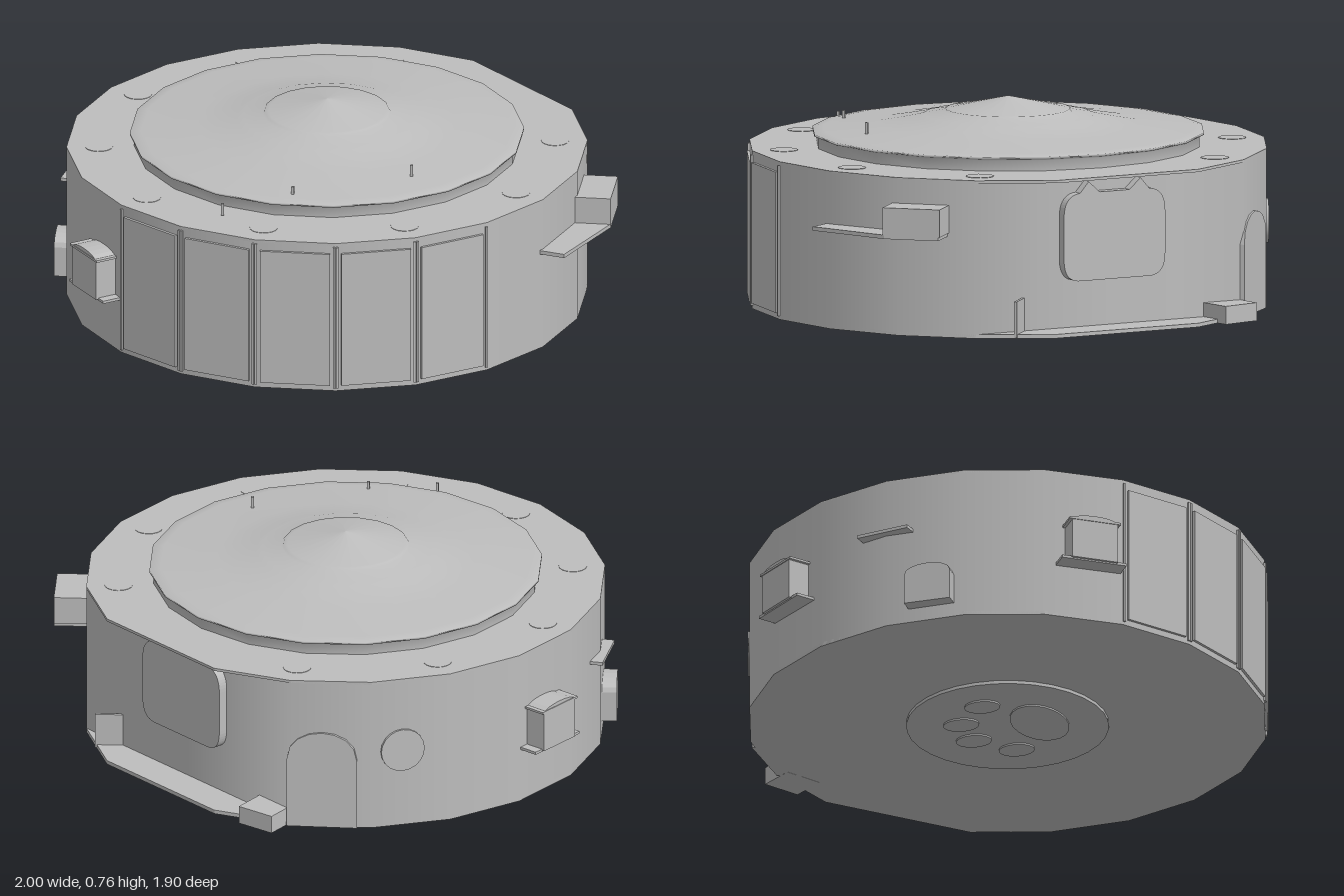
import * as THREE from 'three';

const R = 0.925, CX = -0.035, CZ = 0.02, SIDES = 20;
const DEG = Math.PI / 180;

export function createModel() {
  const model = new THREE.Group();
  const hull = new THREE.Group();
  hull.name = 'shelter';
  hull.position.set(CX, 0, CZ);
  model.add(hull);
  const grey = new THREE.MeshStandardMaterial({ color: 0xbdbdbd, side: THREE.DoubleSide });
  grey.name = 'plain grey';

  const add = (name, geo, parent = hull) => {
    const m = new THREE.Mesh(geo, grey);
    m.name = name;
    parent.add(m);
    return m;
  };
  const box = (name, w, h, d, x, y, z, parent) => {
    const m = add(name, new THREE.BoxGeometry(w, h, d), parent);
    m.position.set(x, y, z);
    return m;
  };
  // Group standing on the wall at an angle from the front, local +z pointing outwards
  const station = (name, deg, r, y = 0) => {
    const g = new THREE.Group();
    g.name = name;
    g.position.set(Math.sin(deg * DEG) * r, y, Math.cos(deg * DEG) * r);
    g.rotation.y = deg * DEG;
    hull.add(g);
    return g;
  };
  // Horizontal plate from [x, z] points
  const slab = (name, pts, y, h, parent) => {
    const s = new THREE.Shape(pts.map(([x, z]) => new THREE.Vector2(x, -z)));
    const geo = new THREE.ExtrudeGeometry(s, { depth: h, bevelEnabled: false });
    const m = add(name, geo.rotateX(-Math.PI / 2), parent);
    m.position.y = y;
    return m;
  };
  // Upright plate with an arched top
  const arch = (name, w, h, rise, d, parent) => {
    const s = new THREE.Shape();
    s.moveTo(-w / 2, 0);
    s.lineTo(w / 2, 0);
    s.lineTo(w / 2, h - rise);
    s.bezierCurveTo(w / 2, h, -w / 2, h, -w / 2, h - rise);
    s.closePath();
    return add(name, new THREE.ExtrudeGeometry(s, { depth: d, bevelEnabled: false, curveSegments: 8 }), parent);
  };

  // Outer wall, flattened on one rear side
  const wall = new THREE.CylinderGeometry(R, R, 0.56, SIDES, 1, true, 9 * DEG);
  const p = wall.attributes.position, limit = R * Math.cos(36 * DEG);
  for (let i = 0; i < p.count; i++) {
    const over = (p.getX(i) - p.getZ(i)) * Math.SQRT1_2 - limit;
    if (over > 0) p.setXYZ(i, p.getX(i) - over * Math.SQRT1_2, p.getY(i), p.getZ(i) + over * Math.SQRT1_2);
  }
  add('outerWall', wall).position.y = 0.3;

  // Floor and roof plates, one corner clipped above the flat wall
  const outline = [];
  for (let i = 0; i < SIDES; i++) {
    const a = 9 + 18 * i;
    if (a !== 135) outline.push([R * Math.sin(a * DEG), R * Math.cos(a * DEG)]);
  }
  slab('floorPlate', outline, 0.018, 0.014);
  slab('roofPlate', outline, 0.574, 0.01);

  // Stepped dome
  const dome = [[0.685, 0.58], [0.685, 0.622], [0.7, 0.628], [0.7, 0.636], [0.66, 0.642], [0.46, 0.66],
    [0.38, 0.674], [0.32, 0.686], [0.3, 0.692], [0.228, 0.704], [0.222, 0.712], [0.208, 0.712], [0, 0.757]];
  add('dome', new THREE.LatheGeometry(dome.map(([x, y]) => new THREE.Vector2(x, y)), SIDES, 9 * DEG));

  // Front window panels
  for (let i = -2; i <= 2; i++) {
    const g = station('windowPanel', i * 18, R * Math.cos(9 * DEG));
    box('pane', 0.25, 0.505, 0.02, 0, 0.2925, 0, g);
    for (const x of [-0.14, 0.14]) box('frameBar', 0.008, 0.54, 0.014, x, 0.3, 0, g);
  }

  // Eared hatch on the flat wall
  const hatch = new THREE.Shape();
  hatch.moveTo(-0.14, 0.2);
  hatch.lineTo(0.14, 0.2);
  hatch.quadraticCurveTo(0.205, 0.2, 0.205, 0.28);
  hatch.lineTo(0.205, 0.43);
  hatch.quadraticCurveTo(0.205, 0.51, 0.14, 0.515);
  hatch.lineTo(0.105, 0.555);
  hatch.lineTo(0.06, 0.515);
  hatch.lineTo(-0.06, 0.515);
  hatch.lineTo(-0.105, 0.555);
  hatch.lineTo(-0.14, 0.515);
  hatch.quadraticCurveTo(-0.205, 0.51, -0.205, 0.43);
  hatch.lineTo(-0.205, 0.28);
  hatch.quadraticCurveTo(-0.205, 0.2, -0.14, 0.2);
  add('earedHatch', new THREE.ExtrudeGeometry(hatch, { depth: 0.045, bevelEnabled: false }),
    station('hatch', 135, limit - 0.01));

  // Rear arched door, porthole and step
  arch('door', 0.25, 0.4, 0.14, 0.02, station('rearDoor', 178, 0.903, 0.02));
  const port = add('porthole', new THREE.CylinderGeometry(0.08, 0.08, 0.02, 20).rotateX(Math.PI / 2),
    station('rearPorthole', 196, 0.912, 0.31));
  port.rotation.y = 0.06;
  box('rearStep', 0.145, 0.065, 0.13, 0.197, 0.05, -0.865, model).rotation.y = -0.585;
  box('flap', 0.1, 0.13, 0.01, 0.79, 0.085, -0.26, model);

  // Two small houses with shelves on the right flank
  for (const deg of [-53, -127]) {
    const g = station('smallHouse', deg, 0.88, 0.22);
    arch('houseBody', 0.17, 0.175, 0.03, 0.115, g);
    box('houseShelf', 0.24, 0.01, 0.1, 0, 0, 0.055, g);
    box('houseTrim', 0.19, 0.008, 0.12, 0, 0.15, 0.058, g);
  }
  // Low arched box and thin ledge
  arch('lowBox', 0.17, 0.16, 0.05, 0.085, station('sideBox', -88.5, 0.88, 0.07));
  box('thinLedge', 0.2, 0.012, 0.06, 0, 0, 0, station('sideLedge', -99, 0.925, 0.375));

  // Perch with a box on the left flank
  slab('perchPlate', [[0.86, -0.02], [1, -0.02], [1, 0.18], [0.87, 0.48], [0.78, 0.455]], 0.38, 0.014, model);
  box('perchBox', 0.13, 0.1, 0.21, 0.935, 0.442, 0.08, model);

  // Flat round marks and small pins on top
  for (let i = 0; i < 10; i++) {
    if (i === 4) continue;
    const a = (i * 36 - 9) * DEG;
    add('roofMark', new THREE.CylinderGeometry(0.05, 0.05, 0.002, 16))
      .position.set(Math.sin(a) * 0.81, 0.5845, Math.cos(a) * 0.81);
  }
  for (const [x, y, z] of [[0.32, 0.67, 0.44], [-0.32, 0.61, 0.73], [-0.08, 0.65, 0.64]])
    box('pin', 0.01, 0.045, 0.01, x, y, z, model);

  // Round base with a raised paw relief underneath
  add('baseDisc', new THREE.CylinderGeometry(0.36, 0.36, 0.013, 32)).position.y = 0.0125;
  const pads = [[0, 0.12, 0.15, 0.1], [0.19, -0.03, 0.05, 0.065], [0.07, -0.15, 0.05, 0.065],
    [-0.07, -0.15, 0.05, 0.065], [-0.19, -0.03, 0.05, 0.065]];
  for (const [x, z, rx, rz] of pads) {
    const pad = add('pawPad', new THREE.CylinderGeometry(1, 1, 0.008, 20));
    pad.scale.set(rx, 1, rz);
    pad.position.set(x, 0.004, z);
  }
  return model;
}
